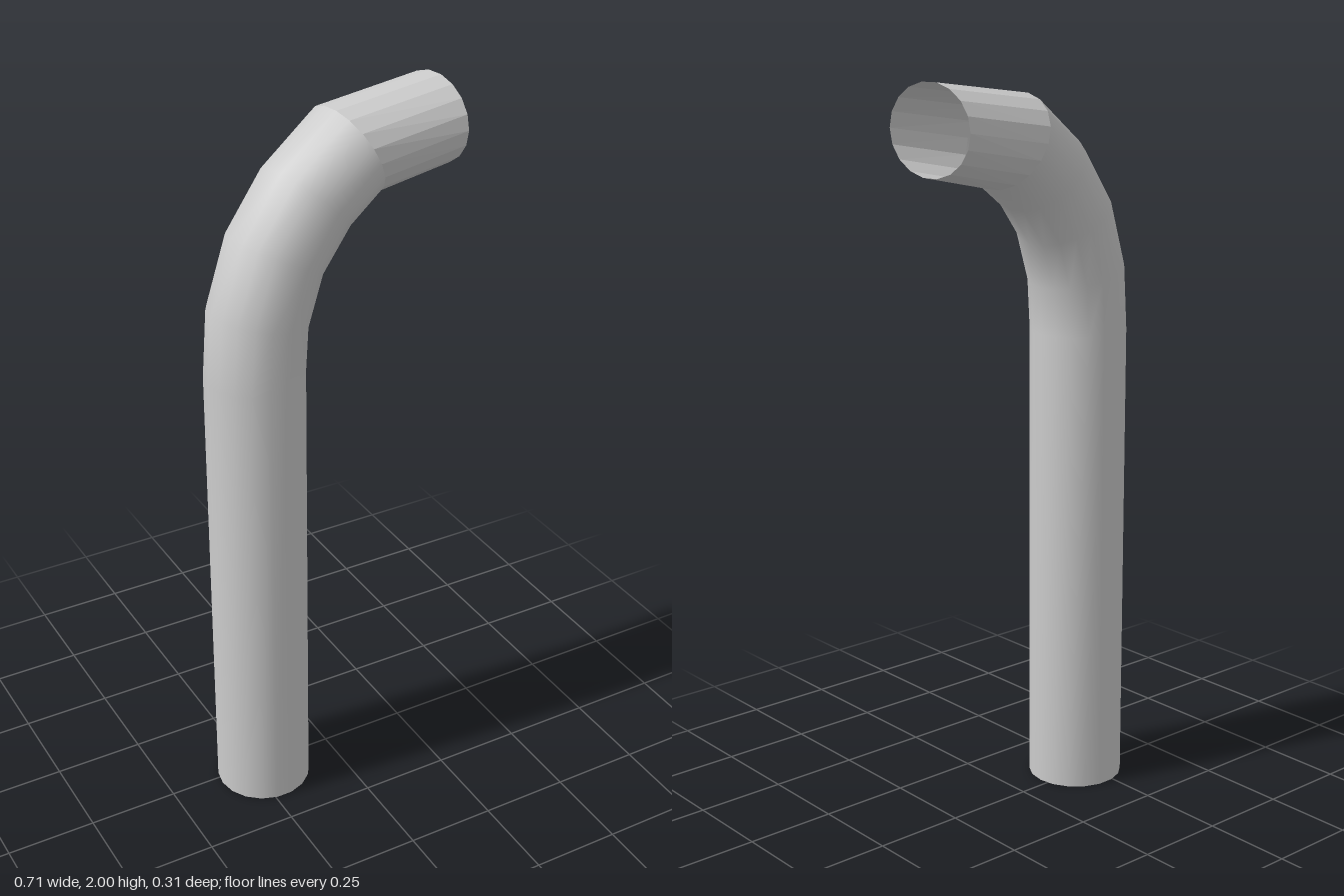
import * as THREE from 'three';

const SIDES = 18;
const YAW = THREE.MathUtils.degToRad(10); // the bend leans slightly towards the back
const RADIUS = 0.133;
const BASE = { x: -0.222, z: 0.026 };

// One ring of points: centre (x, y), tilted by `tilt` degrees in the bend plane
function ring({ x, y, tilt, height = RADIUS }) {
  const t = THREE.MathUtils.degToRad(tilt);
  const centre = new THREE.Vector3(x, y, BASE.z - (Math.min(x, 0.077) - BASE.x) * Math.tan(YAW));
  const outward = new THREE.Vector3(-Math.cos(t) * Math.cos(YAW), Math.sin(t), Math.cos(t) * Math.sin(YAW));
  const sideways = new THREE.Vector3(Math.sin(YAW), 0, Math.cos(YAW));
  return Array.from({ length: SIDES }, (_, k) => {
    const a = ((k + 0.5) / SIDES) * Math.PI * 2;
    return centre.clone()
      .addScaledVector(outward, height * Math.cos(a))
      .addScaledVector(sideways, RADIUS * Math.sin(a));
  });
}

// Open tube skinned over a list of rings
function loft(name, sections, flatShading) {
  const index = [];
  for (let i = 0; i < sections.length - 1; i++) {
    for (let k = 0; k < SIDES; k++) {
      const a = i * SIDES + k;
      const b = i * SIDES + ((k + 1) % SIDES);
      index.push(a, b, b + SIDES, a, b + SIDES, a + SIDES);
    }
  }
  const geometry = new THREE.BufferGeometry().setFromPoints(sections.flatMap(ring));
  geometry.setIndex(index);
  geometry.computeVertexNormals();
  const material = new THREE.MeshStandardMaterial({ color: 0xcccccc, side: THREE.DoubleSide, flatShading });
  const mesh = new THREE.Mesh(geometry, material);
  mesh.name = name;
  return mesh;
}

export function createModel() {
  const group = new THREE.Group();
  group.name = 'bentPipe';

  const bendEnd = { x: 0.077, y: 1.843, tilt: 65 };

  // Upright shaft running smoothly into the elbow
  group.add(loft('shaftAndElbow', [
    { x: BASE.x, y: 0, tilt: 0 },
    { x: BASE.x, y: 1.31, tilt: 0 },
    { x: -0.21, y: 1.47, tilt: 13 },
    { x: -0.155, y: 1.625, tilt: 29 },
    { x: -0.055, y: 1.75, tilt: 44 },
    bendEnd,
  ], false));

  // Faceted spout with an upright, open mouth
  group.add(loft('spout', [
    bendEnd,
    { x: 0.329, y: 1.883, tilt: 90, height: 0.119 },
  ], true));

  return group;
}
